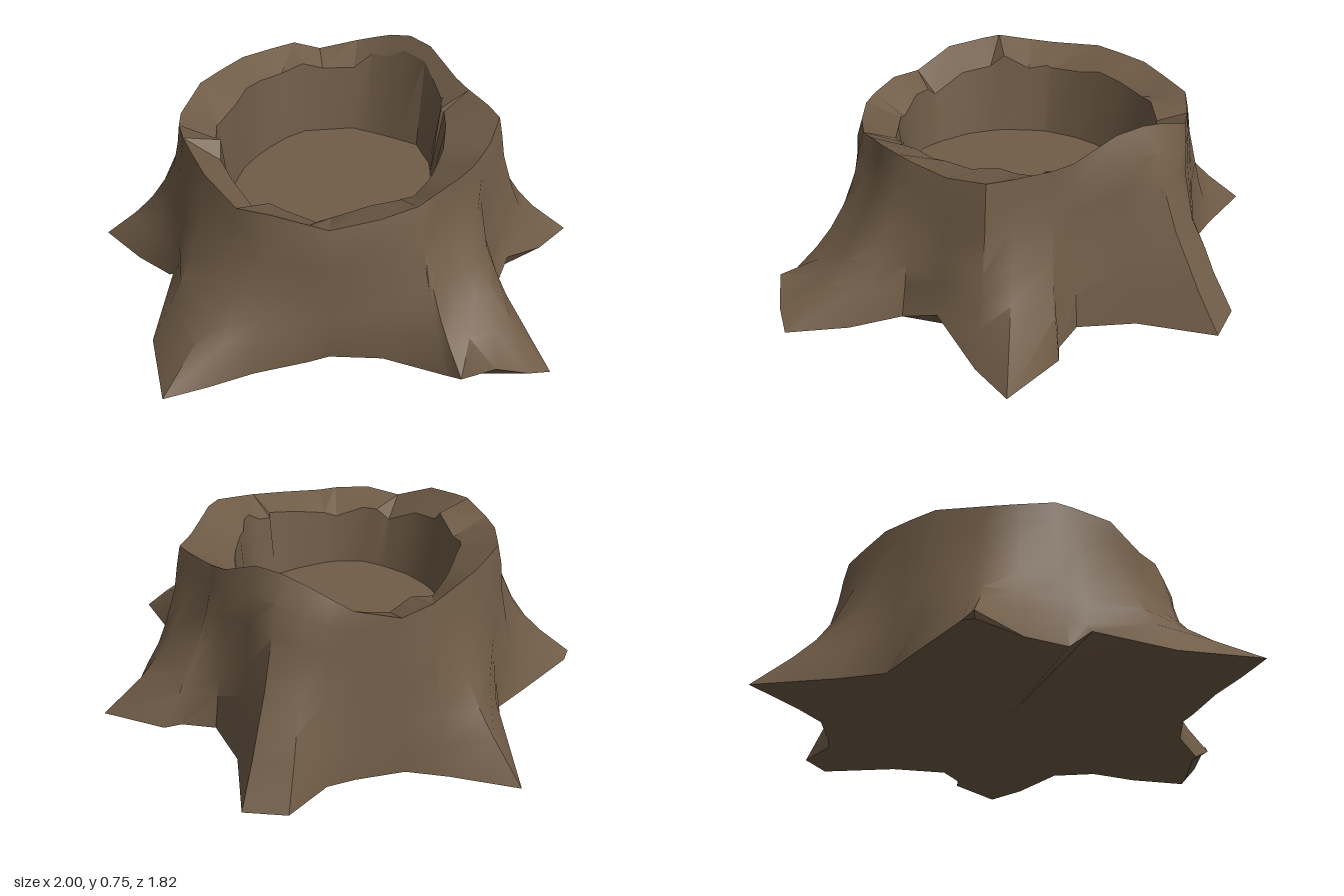
import * as THREE from 'three';
import { toCreasedNormals } from 'three/addons/utils/BufferGeometryUtils.js';

// Footprint with six roots: [x, z], running from +x towards +z
const FOOT = [
  [1, -0.12], [0.87, 0.02], [0.7, 0.2], [0.62, 0.36], [0.72, 0.54], [0.79, 0.77],
  [0.7, 0.82], [0.57, 0.86], [0.45, 0.85], [0.4, 0.79], [0.17, 0.7], [-0.03, 0.69],
  [-0.11, 0.72], [-0.31, 0.78], [-0.47, 0.85], [-0.63, 0.91], [-0.71, 0.6], [-0.66, 0.32],
  [-0.69, 0.24], [-0.84, 0.09], [-1, -0.06], [-0.97, -0.1], [-0.7, -0.3], [-0.56, -0.4],
  [-0.52, -0.58], [-0.48, -0.91], [-0.24, -0.79], [-0.09, -0.73], [0.1, -0.74], [0.21, -0.76],
  [0.37, -0.89], [0.53, -0.84], [0.51, -0.53], [0.57, -0.31], [0.7, -0.26], [0.77, -0.27],
];

// Broken top edge: [x, y, z]
const RIM = [
  [0.65, 0.65, 0], [0.58, 0.62, 0.2], [0.48, 0.66, 0.42], [0.25, 0.6, 0.6], [-0.03, 0.57, 0.66],
  [-0.2, 0.6, 0.62], [-0.38, 0.57, 0.52], [-0.5, 0.65, 0.4], [-0.59, 0.67, 0.2], [-0.64, 0.63, 0],
  [-0.57, 0.66, -0.25], [-0.42, 0.67, -0.45], [-0.2, 0.65, -0.64], [-0.04, 0.6, -0.66],
  [0.1, 0.66, -0.65], [0.29, 0.75, -0.53], [0.39, 0.75, -0.42], [0.51, 0.66, -0.25],
];

// Edge of the hollow's floor
const FLOOR_Y = 0.28;
const FLOOR = [
  [0.39, 0], [0.36, 0.22], [0.3, 0.37], [0.15, 0.45], [-0.05, 0.5], [-0.2, 0.47], [-0.34, 0.34],
  [-0.42, 0.17], [-0.44, 0], [-0.43, -0.12], [-0.34, -0.3], [-0.18, -0.48], [0.07, -0.51],
  [0.22, -0.44], [0.36, -0.36], [0.4, -0.2],
].map(([x, z]) => [x, FLOOR_Y, z]);

// Point where a closed loop crosses a given direction from the centre
function loopAt(loop, dx, dz) {
  for (let i = 0; i < loop.length; i++) {
    const p = new THREE.Vector3(...loop[i]);
    const q = new THREE.Vector3(...loop[(i + 1) % loop.length]);
    const sp = dx * p.z - dz * p.x;
    const sq = dx * q.z - dz * q.x;
    if (sp <= 0 && sq > 0 && p.x * dx + p.z * dz > 0) return p.lerp(q, sp / (sp - sq));
  }
  return new THREE.Vector3(...loop[0]);
}

// Skin between successive rings of equal point count
function loft(rings, crease) {
  const pos = [];
  const n = rings[0].length;
  const tri = (a, b, c) => {
    const area = b.clone().sub(a).cross(c.clone().sub(a)).length();
    if (area > 1e-7) pos.push(...a, ...b, ...c);
  };
  for (let k = 0; k + 1 < rings.length; k++) {
    for (let i = 0; i < n; i++) {
      const j = (i + 1) % n;
      tri(rings[k][i], rings[k + 1][i], rings[k][j]);
      tri(rings[k][j], rings[k + 1][i], rings[k + 1][j]);
    }
  }
  const g = new THREE.BufferGeometry();
  g.setAttribute('position', new THREE.Float32BufferAttribute(pos, 3));
  return toCreasedNormals(g, crease);
}

export function createModel() {
  const group = new THREE.Group();
  group.name = 'hollowStump';
  const bark = new THREE.MeshStandardMaterial({ color: 0x705c47 });
  bark.name = 'brown bark';

  let seed = 7;
  const jitter = (s) => {
    seed = (seed * 16807) % 2147483647;
    return (seed / 2147483647 - 0.5) * 2 * s;
  };

  const rim = FOOT.map(([x, z]) => loopAt(RIM, x, z));
  const floor = FOOT.map(([x, z]) => loopAt(FLOOR, x, z));
  const centre = (y) => FOOT.map(() => new THREE.Vector3(0, y, 0));

  // Undercut toes and hollows between roots that leave the ground
  const LIFT = { 2: 0.09, 6: 0.04, 7: 0.1, 8: 0.04, 17: 0.1, 18: 0.03, 20: 0.02 };
  const toe = FOOT.map(([x, z], i) => new THREE.Vector3(x, LIFT[i] ?? 0, z));
  const ground = toe.map((p, i) => {
    if (i === 17 || i === 18) return p.clone();
    if (i >= 6 && i <= 8) return new THREE.Vector3(p.x, 0, 0.78);
    const s = 1 - p.y;
    return new THREE.Vector3(p.x * s, 0, p.z * s);
  });

  // Bark rings: long roots sweep out late, hollows run straighter, the back root has a stout shoulder
  const stout = (i) => i >= 29 && i <= 32;
  const bend = toe.map((p, i) =>
    stout(i) ? 1.5 : 1 + 3 * (Math.hypot(p.x, p.z) - Math.hypot(rim[i].x, rim[i].z)));
  const flare = [0.21, 0.34, 0.49, 0.72, 0.88].map((h) =>
    toe.map((p, i) => {
      const q = rim[i].clone().lerp(p, (1 - h) ** bend[i]);
      const bulge = stout(i) ? 0.09 * h : i >= 8 && i <= 14 ? 0.03 : 0.008;
      const s = 1 + bulge + jitter(0.008);
      return new THREE.Vector3(q.x * s, Math.max(rim[i].y * h, p.y + 0.03), q.z * s);
    }));

  // Thick splintered lip inside the rim, thinner along the tall back shard
  const lip = rim.map((p, i) => {
    const q = p.clone().lerp(floor[i], (i >= 29 && i <= 33 ? 0.5 : 0.8) + jitter(0.1));
    q.y = p.y - 0.06 + jitter(0.025);
    return q;
  });

  const add = (name, rings, crease) => {
    const mesh = new THREE.Mesh(loft(rings, crease), bark);
    mesh.name = name;
    group.add(mesh);
  };
  add('barkAndRoots', [ground, toe, ...flare, rim], 0.7);
  add('brokenRim', [rim, lip], 0.5);
  add('hollowWall', [lip, floor], 0.6);
  add('hollowFloor', [floor, centre(FLOOR_Y)], 0.5);
  add('underside', [centre(0.04), ground], 0.5);
  return group;
}
